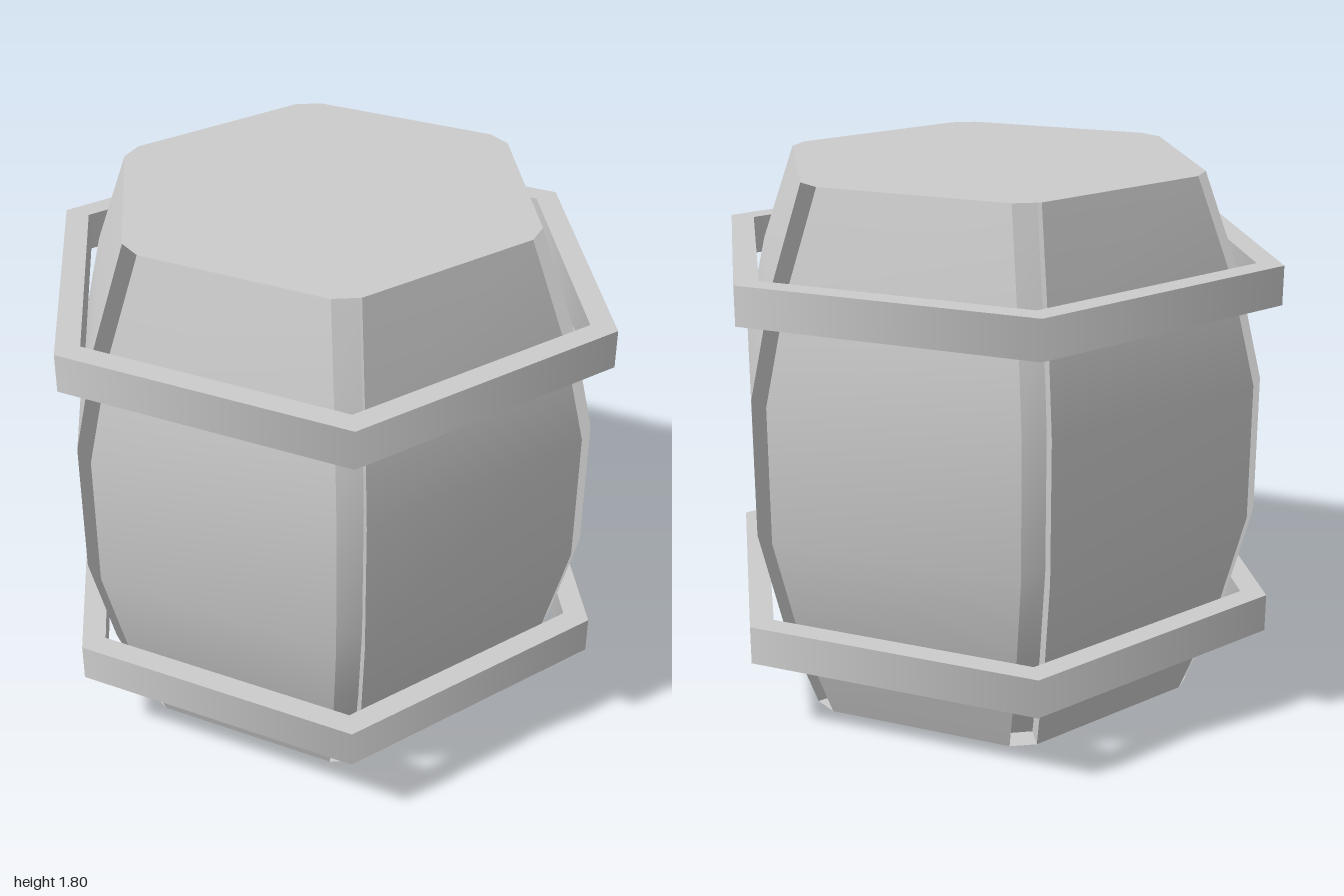
import * as THREE from 'three';
import { mergeGeometries } from 'three/addons/utils/BufferGeometryUtils.js';

const HALF_GAP = 0.045, DEPTH = 0.087, HEIGHT = 1.8;
// corner radius and height of each row, top to bottom
const ROWS = [[0.72, 1.8], [0.845, 1.47], [0.93, 1.13], [0.93, 0.67], [0.845, 0.33], [0.72, 0]];

// a point near corner number k of the hexagon
function corner(k, r, z, y) {
  const a = k * Math.PI / 3, c = Math.cos(a), s = Math.sin(a);
  return [r * c - z * s, y, r * s + z * c];
}

// vertical strip between two edges, each given as a function of (radius, height)
function strip(left, right) {
  const g = new THREE.PlaneGeometry(1, 1, 1, ROWS.length - 1);
  ROWS.forEach(([r, y], i) => {
    g.attributes.position.setXYZ(2 * i, ...left(r, y));
    g.attributes.position.setXYZ(2 * i + 1, ...right(r, y));
  });
  g.computeVertexNormals();
  return g;
}

// hexagonal hoop: each side of its section is turned separately to keep edges sharp
function hoopGeometry(inner, outer, bottom, top) {
  const section = [[outer, bottom], [outer, top], [inner, top], [inner, bottom]]
    .map(([x, y]) => new THREE.Vector2(x, y));
  return mergeGeometries(section.map((p, i) =>
    new THREE.LatheGeometry([p, section[(i + 1) % 4]], 6, Math.PI / 2)));
}

export function createModel() {
  const group = new THREE.Group();
  const grey = new THREE.MeshStandardMaterial({ color: 0xcccccc });
  const thin = new THREE.MeshStandardMaterial({ color: 0xcccccc, side: THREE.DoubleSide });
  const add = (name, geometry, material = grey) => {
    const mesh = new THREE.Mesh(geometry, material);
    mesh.name = name;
    group.add(mesh);
    return mesh;
  };

  // six bulging panels with a groove at every corner
  for (let k = 0; k < 6; k++) {
    const outerA = (r, y) => corner(k, r, HALF_GAP, y);
    const innerA = (r, y) => corner(k, r - DEPTH, HALF_GAP, y);
    const innerB = (r, y) => corner(k, r - DEPTH, -HALF_GAP, y);
    const outerB = (r, y) => corner(k, r, -HALF_GAP, y);
    const nextB = (r, y) => corner(k + 1, r, -HALF_GAP, y);
    add('panel', strip(nextB, outerA));
    add('groove', mergeGeometries([
      strip(outerA, innerA), strip(innerA, innerB), strip(innerB, outerB),
    ]));
  }

  // flat lid and base, cutting across the groove ends
  const outline = [];
  for (let k = 0; k < 6; k++) {
    for (const z of [-HALF_GAP, HALF_GAP]) {
      const [x, , d] = corner(k, ROWS[0][0], z, 0);
      outline.push(new THREE.Vector2(x, d));
    }
  }
  const cap = new THREE.ShapeGeometry(new THREE.Shape(outline));
  const lid = add('lid', cap, thin);
  lid.rotation.x = -Math.PI / 2;
  lid.position.y = HEIGHT;
  add('base', cap, thin).rotation.x = Math.PI / 2;

  // hoops
  add('lowerHoop', hoopGeometry(0.91, 1, 0.25, 0.38));
  add('upperHoop', hoopGeometry(0.91, 1, 1.395, 1.525));

  return group;
}
